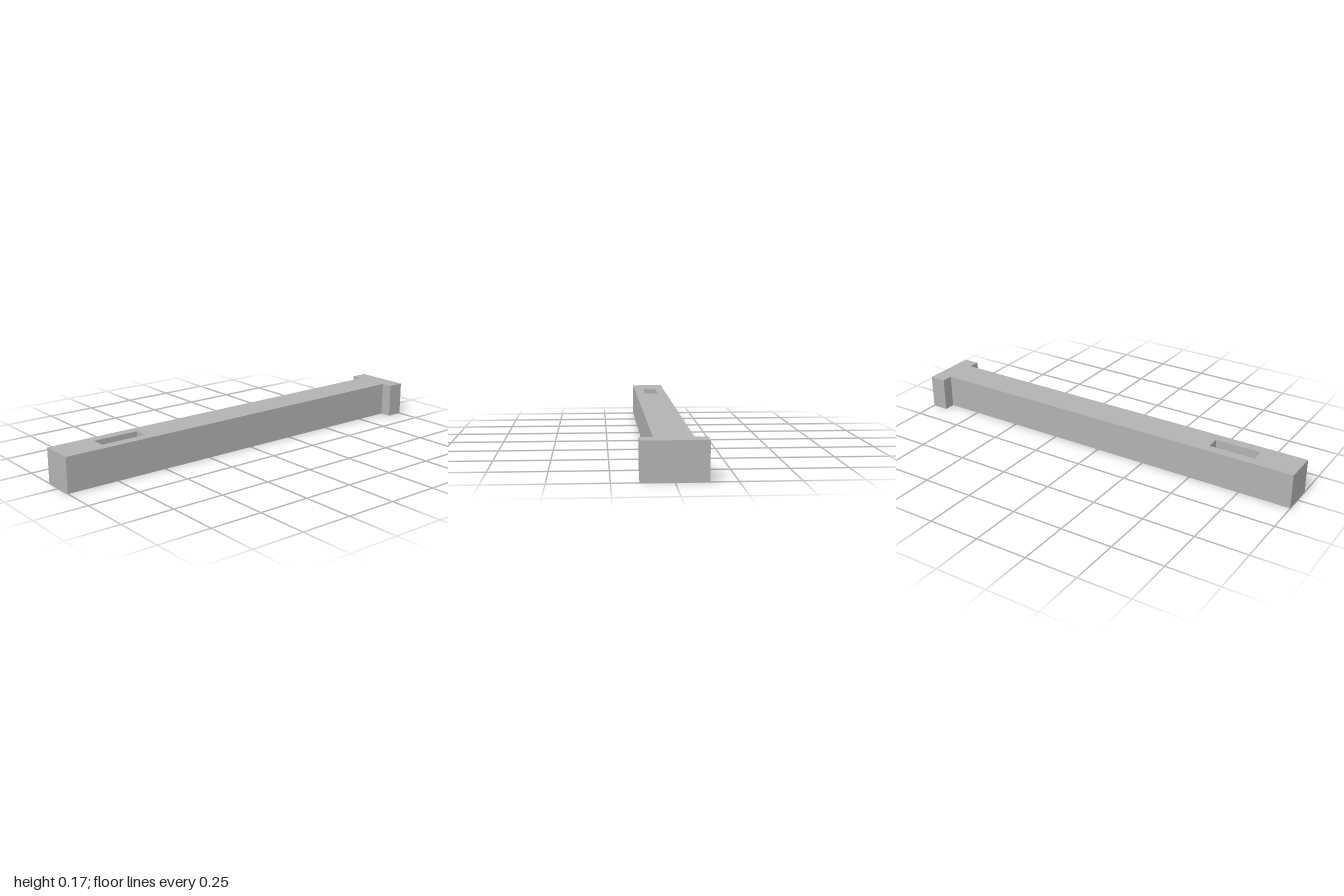
import * as THREE from 'three';

const HEIGHT = 0.165;

// Traces a closed outline given as [x, z] points on the ground plane
const trace = (path, points) => path.setFromPoints(points.map(([x, z]) => new THREE.Vector2(x, -z)));

export function createModel() {
  const group = new THREE.Group();
  group.name = 'slottedPin';
  const grey = new THREE.MeshStandardMaterial({ color: 0xb2b2b2 });
  grey.name = 'grey';

  const shaft = 0.0815, head = 0.137, neck = -0.918;

  // T-shaped outline: wide head at the back, straight shaft to the front
  const outline = trace(new THREE.Shape(), [
    [-shaft, 1], [shaft, 1], [shaft, neck], [head, neck],
    [head, -1], [-head, -1], [-head, neck], [-shaft, neck],
  ]);

  // Wedge slot running right through near the front end
  const slot = 0.034, slotBack = 0.573, slotFront = 0.796;
  outline.holes.push(trace(new THREE.Path(), [
    [-slot, slotBack], [slot, slotBack], [slot, slotFront], [-slot, slotFront],
  ]));

  const geometry = new THREE.ExtrudeGeometry(outline, { depth: HEIGHT, bevelEnabled: false });
  geometry.rotateX(-Math.PI / 2);
  const pin = new THREE.Mesh(geometry, grey);
  pin.name = 'pinWithHeadAndSlot';
  group.add(pin);
  return group;
}
